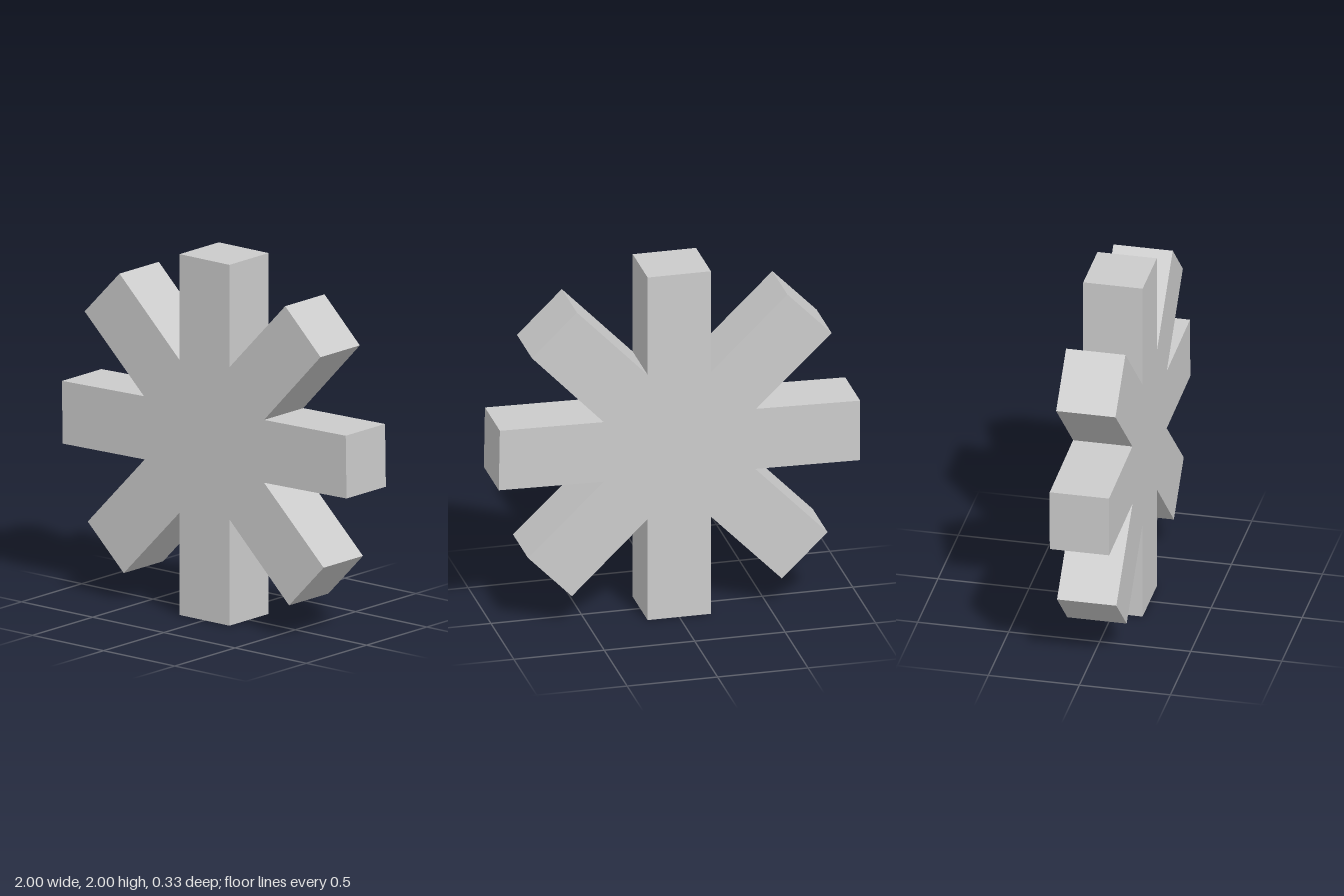
import * as THREE from 'three';

const DEPTH = 0.326;

// Each arm: two tip corners, then the notch before the next arm (clockwise from the top)
const ARMS = [
  [[-0.175, 2], [0.175, 2], [0.175, 1.432]],
  [[0.567, 1.838], [0.815, 1.597], [0.418, 1.182]],
  [[0.992, 1.192], [0.998, 0.845], [0.418, 0.834]],
  [[0.837, 0.434], [0.594, 0.184], [0.175, 0.59]],
  [[0.175, 0], [-0.175, 0], [-0.175, 0.567]],
  [[-0.567, 0.165], [-0.82, 0.408], [-0.42, 0.82]],
  [[-0.998, 0.81], [-1, 1.157], [-0.425, 1.17]],
  [[-0.842, 1.569], [-0.597, 1.82], [-0.175, 1.413]],
];

export function createModel() {
  const group = new THREE.Group();
  group.name = 'eightArmedStar';

  // Flat star outline pushed straight through, centred on z
  const outline = new THREE.Shape(ARMS.flat().map(([x, y]) => new THREE.Vector2(x, y)));
  const geometry = new THREE.ExtrudeGeometry(outline, { depth: DEPTH, bevelEnabled: false });
  geometry.translate(0, 0, -DEPTH / 2);

  const star = new THREE.Mesh(
    geometry,
    new THREE.MeshStandardMaterial({ color: 0xcccccc, flatShading: true })
  );
  star.name = 'starBody';
  group.add(star);
  return group;
}
